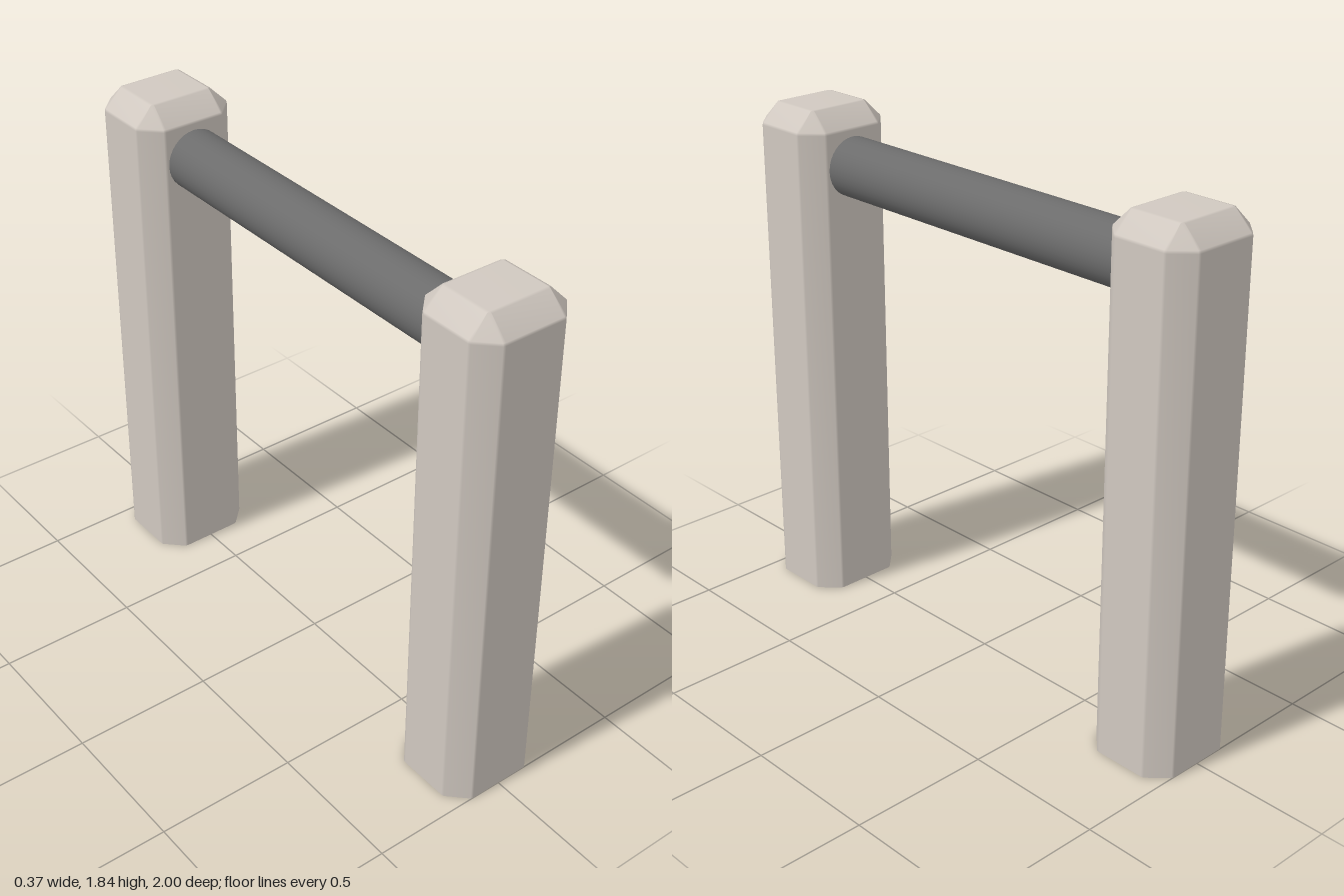
import * as THREE from 'three';
import { mergeVertices } from 'three/addons/utils/BufferGeometryUtils.js';

const HX = 0.185, HZ = 0.167, HEIGHT = 1.84, BEVEL = 0.075;
// Quarter section of the bevel: a flat chamfer with slightly softened edges
const QUARTER = [[1, 0], [0.97, 0.13], [0.13, 0.97], [0, 1]];

// Chamfered post, open underneath, built from stacked rings
function postGeometry() {
  const pos = [], index = [];
  const rings = [[1, 0], ...QUARTER.map(([a, b]) => [a, HEIGHT - BEVEL + b * BEVEL])];
  const corners = [[1, 1], [-1, 1], [-1, -1], [1, -1]];
  for (const [a, y] of rings) {
    corners.forEach(([sx, sz], c) => {
      // Alternate corners run the quarter backwards so the ring stays in order
      const arc = c % 2 ? [...QUARTER].reverse() : QUARTER;
      for (const [u, v] of arc) {
        pos.push(sx * (HX - BEVEL + a * u * BEVEL), y, sz * (HZ - BEVEL + a * v * BEVEL));
      }
    });
  }
  const n = 16;
  for (let r = 0; r < rings.length - 1; r++) {
    for (let k = 0; k < n; k++) {
      const a = r * n + k, b = r * n + (k + 1) % n;
      index.push(a, a + n, b + n, a, b + n, b);
    }
  }
  // Flat top
  const t = (rings.length - 1) * n;
  index.push(t, t + 8, t + 4, t, t + 12, t + 8);

  const geo = new THREE.BufferGeometry();
  geo.setAttribute('position', new THREE.Float32BufferAttribute(pos, 3));
  geo.setIndex(index);
  const merged = mergeVertices(geo);
  merged.computeVertexNormals(); // area weighting keeps the large faces flat
  return merged;
}

export function createModel() {
  const group = new THREE.Group();
  group.name = 'barrier';
  const postMat = new THREE.MeshStandardMaterial({ color: 0xd0c8c0, side: THREE.DoubleSide });
  const barMat = new THREE.MeshStandardMaterial({ color: 0x6c6c6c });

  // Two upright posts
  const geo = postGeometry();
  for (const [name, s] of [['frontPost', 1], ['backPost', -1]]) {
    const post = new THREE.Mesh(geo, postMat);
    post.name = name;
    post.position.z = s * (1 - HZ);
    group.add(post);
  }

  // Round crossbar between the posts
  const bar = new THREE.Mesh(new THREE.CylinderGeometry(0.106, 0.106, 1.35, 32), barMat);
  bar.name = 'crossbar';
  bar.rotation.x = Math.PI / 2;
  bar.position.y = 1.637;
  group.add(bar);

  return group;
}
